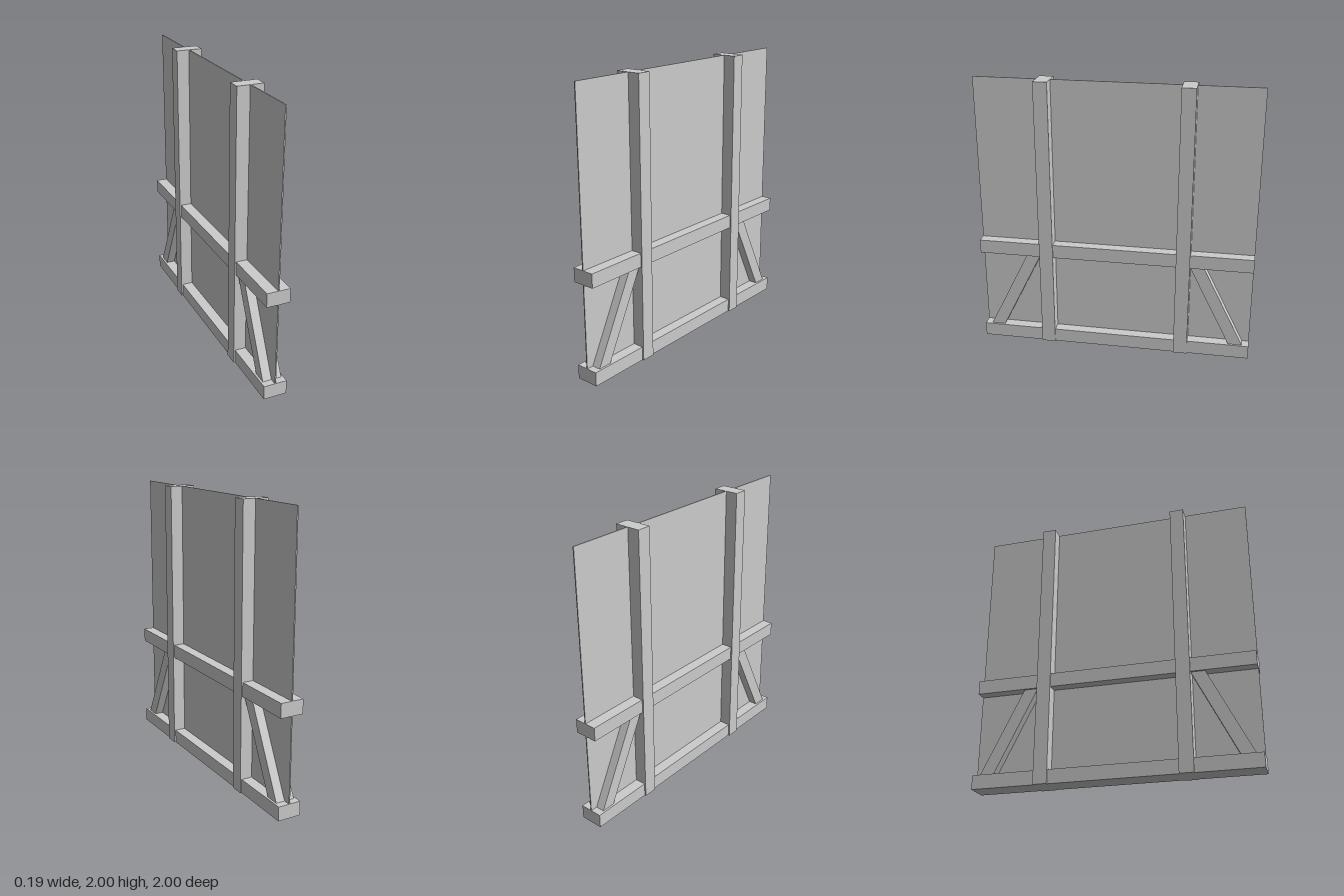
import * as THREE from 'three';

export function createModel() {
  const group = new THREE.Group();
  const material = new THREE.MeshStandardMaterial({ color: 0xcccccc, flatShading: true });

  const add = (name, geometry, x = 0, y = 0, z = 0) => {
    const mesh = new THREE.Mesh(geometry, material);
    mesh.name = name;
    mesh.position.set(x, y, z);
    group.add(mesh);
  };

  // Thin upright wall sheet
  add('panel', new THREE.BoxGeometry(0.008, 2, 2), 0, 1, 0);

  // Horizontal rails along the foot and at mid height
  add('bottomRail', new THREE.BoxGeometry(0.166, 0.1, 2), 0, 0.05, 0);
  add('middleRail', new THREE.BoxGeometry(0.166, 0.1, 2), 0, 0.75, 0);

  // Posts and slanted braces, mirrored front to back
  for (const [side, s] of [['front', 1], ['back', -1]]) {
    add(side + 'Post', new THREE.BoxGeometry(0.187, 2, 0.1), 0, 1, s * 0.5);

    const outline = [[0.85, 0.1], [0.95, 0.1], [0.65, 0.7], [0.55, 0.7]];
    const shape = new THREE.Shape(outline.map(([z, y]) => new THREE.Vector2(s * z, y)));
    const brace = new THREE.ExtrudeGeometry(shape, { depth: 0.136, bevelEnabled: false });
    brace.translate(0, 0, -0.068).rotateY(-Math.PI / 2);
    add(side + 'Brace', brace);
  }

  return group;
}
